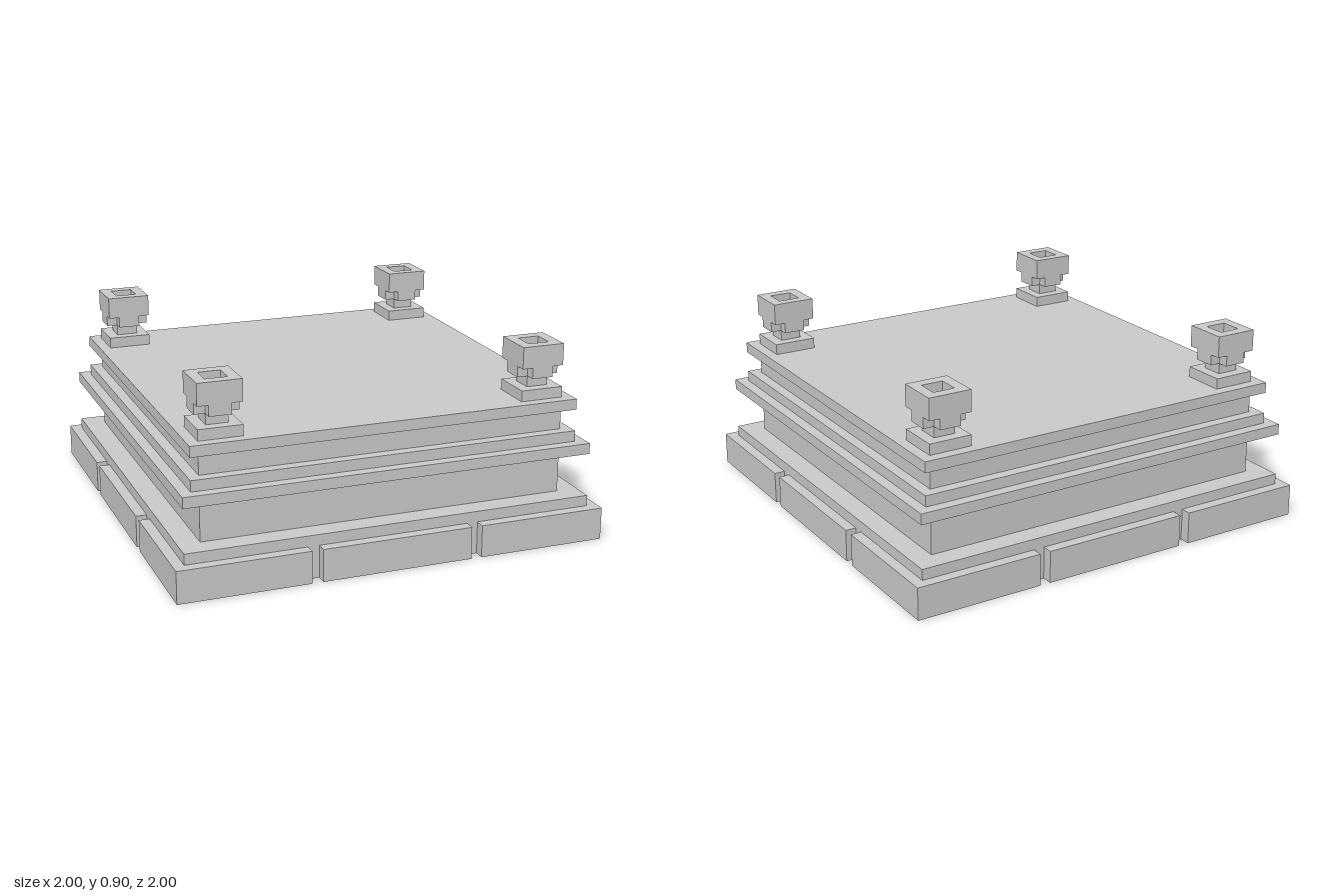
import * as THREE from 'three';

const material = new THREE.MeshStandardMaterial({ color: 0xcccccc, flatShading: true });

function add(parent, name, geometry, y) {
  const mesh = new THREE.Mesh(geometry, material);
  mesh.name = name;
  mesh.position.y = y;
  parent.add(mesh);
}

// Square slab standing on height y0
function slab(parent, name, half, y0, y1) {
  add(parent, name, new THREE.BoxGeometry(half * 2, y1 - y0, half * 2), (y0 + y1) / 2);
}

// Plan outline with four-fold symmetry: one side's points, turned by quarters
function fourSided(side) {
  const pts = [];
  for (let q = 0; q < 4; q++) {
    for (const [x, y] of side) {
      pts.push(new THREE.Vector2(x, y).rotateAround(new THREE.Vector2(), q * Math.PI / 2));
    }
  }
  return pts;
}

function extrudeUp(shape, height) {
  return new THREE.ExtrudeGeometry(shape, { depth: height, bevelEnabled: false }).rotateX(-Math.PI / 2);
}

function createPost() {
  const post = new THREE.Group();
  post.name = 'cornerPost';
  slab(post, 'postFoot', 0.1, 0.65, 0.7);
  slab(post, 'postNeck', 0.05, 0.7, 0.75);
  // Cross-shaped bracket: the head's lower corners are cut away
  const cross = new THREE.Shape(fourSided([[-0.05, -0.05], [-0.05, -0.1], [0.05, -0.1]]));
  add(post, 'postBracket', extrudeUp(cross, 0.05), 0.75);
  // Hollow square head
  const head = new THREE.Shape(fourSided([[-0.1, -0.1]]));
  head.holes.push(new THREE.Path(fourSided([[-0.05, -0.05]]).reverse()));
  add(post, 'postHead', extrudeUp(head, 0.1), 0.8);
  return post;
}

export function createModel() {
  const model = new THREE.Group();
  model.name = 'steppedPlatform';

  // Base with two vertical grooves on every side
  const side = [
    [-1, -1], [-0.4, -1], [-0.4, -0.95], [-0.35, -0.95], [-0.35, -1],
    [0.35, -1], [0.35, -0.95], [0.4, -0.95], [0.4, -1],
  ];
  add(model, 'groovedBase', extrudeUp(new THREE.Shape(fourSided(side)), 0.15), 0);

  // Stacked courses: name, half width, bottom, top
  const courses = [
    ['baseStep', 0.95, 0.15, 0.2],
    ['lowerWall', 0.85, 0.2, 0.4],
    ['lowerCornice', 0.95, 0.4, 0.45],
    ['corniceStep', 0.9, 0.45, 0.5],
    ['upperWall', 0.85, 0.5, 0.6],
    ['topSlab', 0.9, 0.6, 0.65],
  ];
  for (const course of courses) slab(model, ...course);

  // Posts on the four corners
  for (const x of [-0.75, 0.75]) {
    for (const z of [-0.75, 0.75]) {
      const post = createPost();
      post.position.set(x, 0, z);
      model.add(post);
    }
  }
  return model;
}
